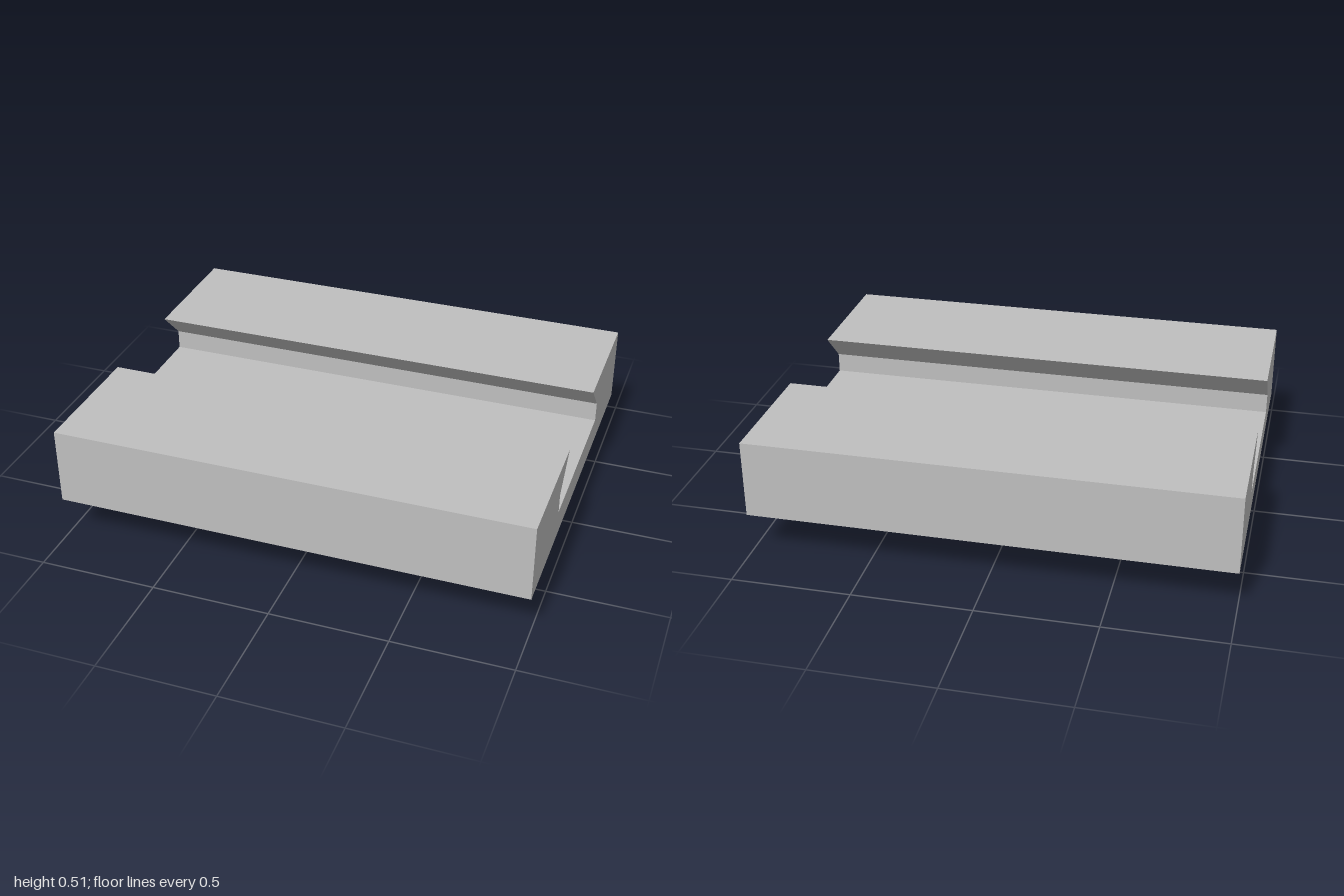
import * as THREE from 'three';

const steel = new THREE.MeshStandardMaterial({ color: 0xbfbfbf });
steel.name = 'plain grey';

const polygon = (points) => new THREE.Shape(points.map(([x, y]) => new THREE.Vector2(x, y)));

// Extrudes a plan drawn in x/z upward from y = bottom to y = top.
function extrudeUp(shape, bottom, top, curveSegments = 24) {
  const geometry = new THREE.ExtrudeGeometry(shape, { depth: top - bottom, bevelEnabled: false, curveSegments });
  return geometry.rotateX(-Math.PI / 2).translate(0, bottom, 0);
}

export function createModel() {
  const model = new THREE.Group();
  model.name = 'dovetailMountPlate';

  const add = (name, geometry) => {
    const mesh = new THREE.Mesh(geometry, steel);
    mesh.name = name;
    model.add(mesh);
    return mesh;
  };

  const plateBottom = 0.185, pocketFloor = 0.24, channelFloor = 0.3, plateTop = 0.515;
  const channelHalf = 0.367, mouthHalf = 0.235;

  // Main block with the dovetail channel running along x
  const half = [[0.8, plateBottom], [0.8, plateTop], [mouthHalf, plateTop], [channelHalf, 0.385], [channelHalf, pocketFloor]];
  const profile = polygon([...half, ...half.map(([z, y]) => [-z, y]).reverse()]);
  const block = new THREE.ExtrudeGeometry(profile, { depth: 2, bevelEnabled: false });
  add('slottedPlate', block.translate(0, 0, -1).rotateY(Math.PI / 2));

  // Channel floor with two shallow rectangular pockets
  const floor = polygon([[-1, -channelHalf], [1, -channelHalf], [1, channelHalf], [-1, channelHalf]]);
  for (const x of [-0.6, 0.6]) {
    floor.holes.push(polygon([[x - 0.06, -0.075], [x - 0.06, 0.075], [x + 0.06, 0.075], [x + 0.06, -0.075]]));
  }
  add('channelFloor', extrudeUp(floor, pocketFloor, channelFloor));

  // Round collar and boss under the plate
  const disc = (radius, bottom, top) =>
    new THREE.CylinderGeometry(radius, radius, top - bottom, 96).translate(0, (bottom + top) / 2, 0);
  add('collar', disc(0.565, 0.145, plateBottom));
  add('boss', disc(0.445, 0, 0.145));

  // Bayonet lugs: straight sides, curved inside and out
  const halfWidth = 0.175, outer = 0.555, inner = 0.445;
  const outerAngle = Math.asin(halfWidth / outer), innerAngle = Math.asin(halfWidth / inner);
  const lug = new THREE.Shape();
  lug.absarc(0, 0, outer, -outerAngle, outerAngle, false);
  lug.absarc(0, 0, inner, innerAngle, -innerAngle, true);
  lug.closePath();
  const lugGeometry = extrudeUp(lug, 0, 0.067);
  add('leftLug', lugGeometry);
  add('rightLug', lugGeometry).rotation.y = Math.PI;

  return model;
}
